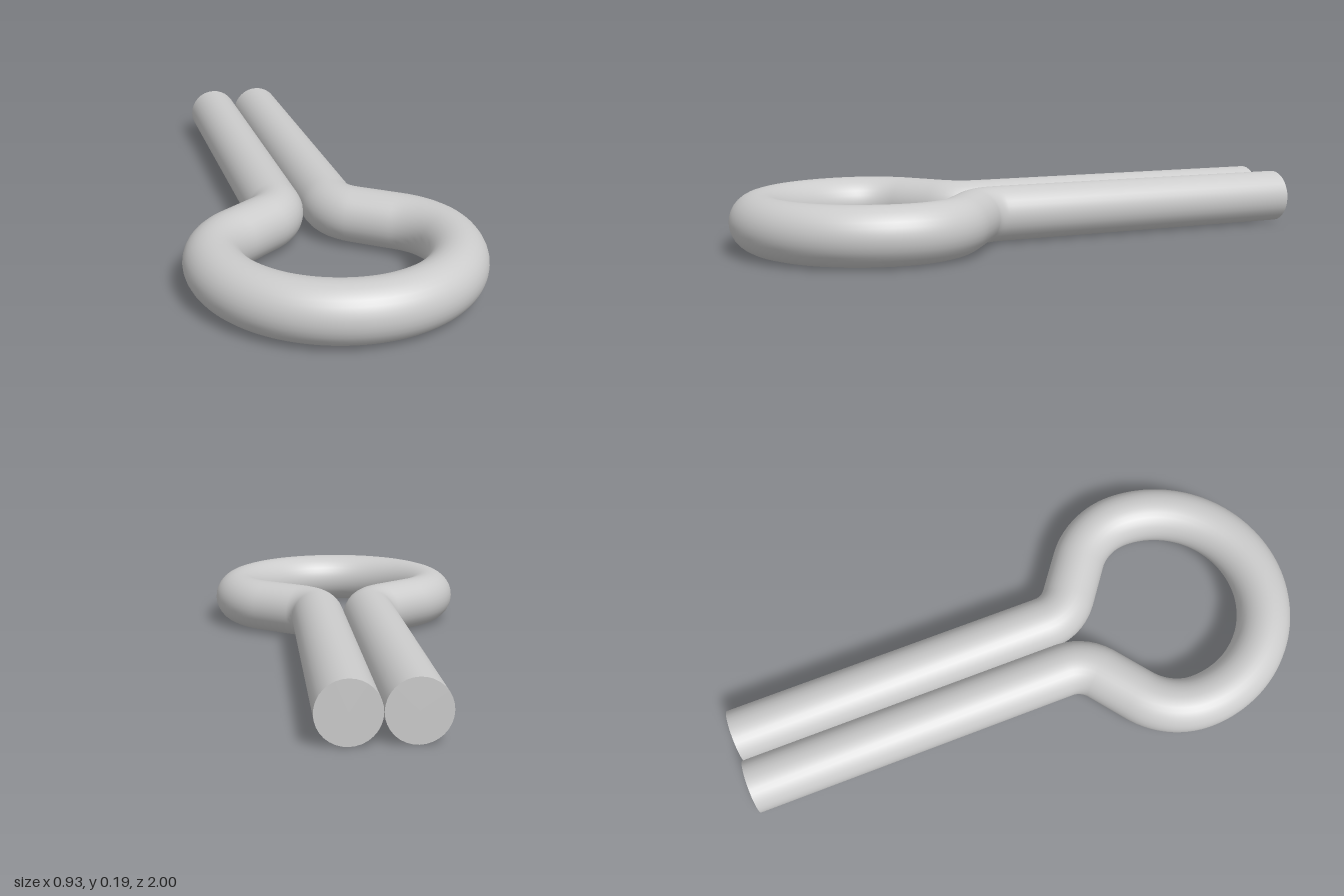
import * as THREE from 'three';

const ROD = 0.093;      // rod radius
const LEG_X = 0.0935;   // leg centreline offset
const LOOP_R = 0.3725;  // loop centreline radius
const LOOP_Z = 0.535;   // loop centre
const NECK_Z = 0.13;    // where the legs start to splay
const NECK_R = 0.148;   // outward bend at the neck
const SHOULDER_R = 0.245; // bend from the splay back into the loop
const SPLAY = Math.atan2(0.8, 0.6);

// Planar centreline (x, z) lifted to the rod's mid height
class RodCurve extends THREE.Curve {
  constructor(path) {
    super();
    this.path = path;
  }
  getPoint(t, target = new THREE.Vector3()) {
    const p = this.path.getPoint(t);
    return target.set(p.x, ROD, p.y);
  }
}

export function createModel() {
  const group = new THREE.Group();
  const material = new THREE.MeshStandardMaterial({ color: 0xcccccc });
  const neckX = LEG_X + NECK_R;
  const shoulderX = LOOP_R - SHOULDER_R;

  // One continuous rod: leg, neck, shoulder, loop, and back again
  const path = new THREE.Path();
  path.moveTo(LEG_X, -1);
  path.lineTo(LEG_X, NECK_Z);
  path.absarc(neckX, NECK_Z, NECK_R, Math.PI, Math.PI - SPLAY, true);
  path.absarc(shoulderX, LOOP_Z, SHOULDER_R, -SPLAY, 0, false);
  path.absarc(0, LOOP_Z, LOOP_R, 0, Math.PI, false);
  path.absarc(-shoulderX, LOOP_Z, SHOULDER_R, Math.PI, Math.PI + SPLAY, false);
  path.absarc(-neckX, NECK_Z, NECK_R, SPLAY, 0, true);
  path.lineTo(-LEG_X, -1);

  const rod = new THREE.Mesh(new THREE.TubeGeometry(new RodCurve(path), 240, ROD, 32), material);
  rod.name = 'bentRod';
  group.add(rod);

  // Flat cut ends at the back
  for (const side of [1, -1]) {
    const cap = new THREE.Mesh(new THREE.CircleGeometry(ROD, 32), material);
    cap.name = side > 0 ? 'leftLegEnd' : 'rightLegEnd';
    cap.rotation.y = Math.PI;
    cap.position.set(side * LEG_X, ROD, -1);
    group.add(cap);
  }
  return group;
}
